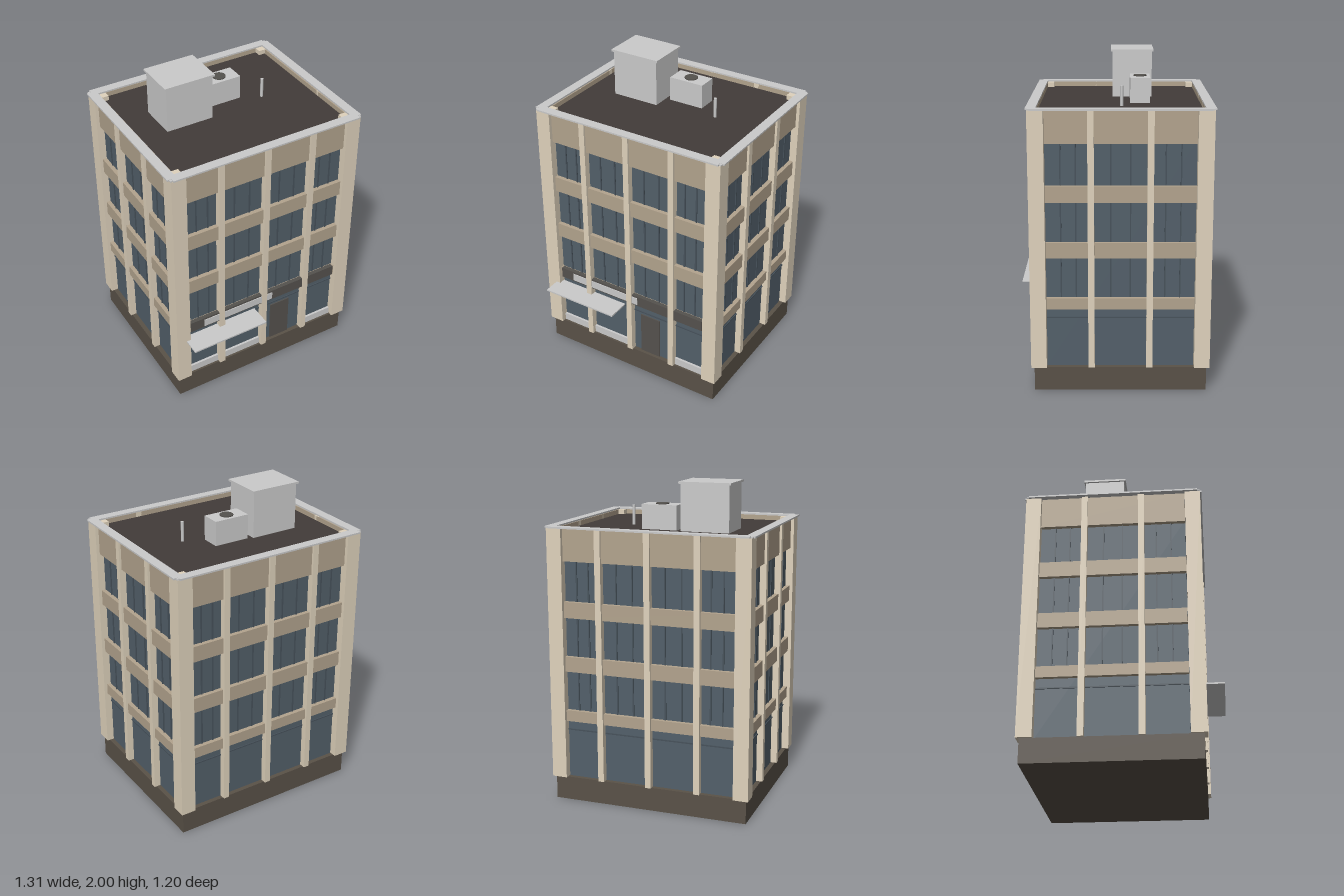
import * as THREE from 'three';

const mat = (color) => new THREE.MeshStandardMaterial({ color });
const M = {
  grey: mat(0xcccccc), pier: mat(0xe0d3bd), band: mat(0xb3a48e), glass: mat(0x53606a),
  frame: mat(0x47525b), plinth: mat(0x5a5248), deck: mat(0x423c39), dark: mat(0x55524e),
};

// Box given by its limits on each axis
function box(parent, name, material, [x0, x1], [y0, y1], [z0, z1]) {
  const mesh = new THREE.Mesh(new THREE.BoxGeometry(x1 - x0, y1 - y0, z1 - z0), material);
  mesh.position.set((x0 + x1) / 2, (y0 + y1) / 2, (z0 + z1) / 2);
  mesh.name = name;
  parent.add(mesh);
  return mesh;
}

const BASE = 0.15, TOP = 1.73;
const BANDS = [[0.52, 0.59], [0.84, 0.935], [1.18, 1.28], [1.53, TOP]];
const WINDOWS = [[0.59, 0.84], [0.935, 1.18], [1.28, 1.53]];

// One facade facing +z: w is half the width between corner piers, d the pier face
function facade(name, w, d, pilasters) {
  const g = new THREE.Group();
  g.name = name;
  const glassZ = d - 0.045;
  box(g, 'glazing', M.glass, [-w, w], [BASE, 1.55], [glassZ - 0.02, glassZ]);
  BANDS.forEach((y) => box(g, 'spandrel', M.band, [-w, w], y, [d - 0.05, d - 0.018]));
  box(g, 'transomBar', M.frame, [-w, w], [0.456, 0.464], [glassZ, glassZ + 0.006]);
  pilasters.forEach((x) =>
    box(g, 'pilaster', M.pier, [x - 0.019, x + 0.019], [BASE, TOP], [d - 0.05, d - 0.004]));

  // Two mullions in every bay of each upper storey
  const edges = [-w, ...pilasters, w];
  for (let i = 0; i < edges.length - 1; i++) {
    for (const t of [1 / 3, 2 / 3]) {
      const x = edges[i] + (edges[i + 1] - edges[i]) * t;
      WINDOWS.forEach((y) =>
        box(g, 'mullion', M.frame, [x - 0.004, x + 0.004], y, [glassZ, glassZ + 0.006]));
    }
  }
  return g;
}

export function createModel() {
  const model = new THREE.Group();
  model.name = 'officeBuilding';
  const b = new THREE.Group();
  b.name = 'building';
  b.position.z = -0.05;
  model.add(b);

  // Plinth and roof deck
  box(b, 'plinth', M.plinth, [-0.625, 0.625], [0, BASE], [-0.523, 0.523]);
  box(b, 'roofDeck', M.deck, [-0.59, 0.59], [1.66, 1.7], [-0.49, 0.49]);

  // Four facades
  const long = [-0.313, 0, 0.313], short = [-0.175, 0.175];
  const front = facade('frontFacade', 0.545, 0.54, long);
  const back = facade('backFacade', 0.545, 0.54, long);
  const left = facade('leftFacade', 0.445, 0.64, short);
  const right = facade('rightFacade', 0.445, 0.64, short);
  back.rotation.y = Math.PI;
  left.rotation.y = Math.PI / 2;
  right.rotation.y = -Math.PI / 2;
  b.add(front, back, left, right);

  // Corner piers and parapet coping
  for (const s of [-1, 1]) {
    for (const t of [-1, 1]) {
      const pier = box(b, 'cornerPier', M.pier, [-0.0475, 0.0475], [BASE, TOP], [-0.0475, 0.0475]);
      pier.position.x = s * 0.5945;
      pier.position.z = t * 0.4945;
      const cap = box(b, 'cornerCoping', M.grey, [-0.0225, 0.0225], [TOP, 1.738], [-0.0225, 0.0225]);
      cap.position.x = s * 0.6225;
      cap.position.z = t * 0.5175;
    }
    const side = box(b, 'sideCoping', M.grey, [-0.03, 0.03], [TOP, 1.74], [-0.525, 0.525]);
    side.position.x = s * 0.627;
    const end = box(b, 'endCoping', M.grey, [-0.63, 0.63], [TOP, 1.74], [-0.03, 0.03]);
    end.position.z = s * 0.521;
  }

  // Shopfront: sign band, sign panel, bulkheads, door and canopy
  box(front, 'signBand', M.dark, [-0.535, 0.535], [0.52, 0.592], [0.5, 0.527]);
  box(front, 'signPanel', M.grey, [-0.44, 0.06], [0.53, 0.58], [0.5, 0.532]);
  for (const x of [[-0.545, -0.332], [-0.294, -0.019], [0.332, 0.545]])
    box(front, 'bulkhead', M.grey, x, [BASE, 0.2], [0.49, 0.51]);
  box(front, 'door', M.dark, [0.07, 0.21], [BASE, 0.44], [0.49, 0.503]);
  box(front, 'canopy', M.grey, [-0.575, -0.055], [0.463, 0.473], [0.5, 0.648]);

  // Rooftop stair house, air handler and vent pipe
  const roof = new THREE.Group();
  roof.name = 'rooftopEquipment';
  model.add(roof);
  box(roof, 'stairHouse', M.grey, [-0.402, -0.094], [1.7, 1.988], [-0.25, 0]);
  box(roof, 'stairHouseRoof', M.grey, [-0.414, -0.082], [1.987, 2], [-0.26, 0.01]);
  box(roof, 'airHandler', M.grey, [-0.063, 0.165], [1.7, 1.853], [-0.233, -0.11]);
  const fan = new THREE.Mesh(new THREE.CylinderGeometry(0.041, 0.041, 0.01, 20), M.dark);
  fan.name = 'fan';
  fan.position.set(0.051, 1.854, -0.172);
  const vent = new THREE.Mesh(new THREE.CylinderGeometry(0.01, 0.01, 0.125, 8), M.grey);
  vent.name = 'ventPipe';
  vent.position.set(0.289, 1.7625, -0.057);
  roof.add(fan, vent);

  return model;
}
